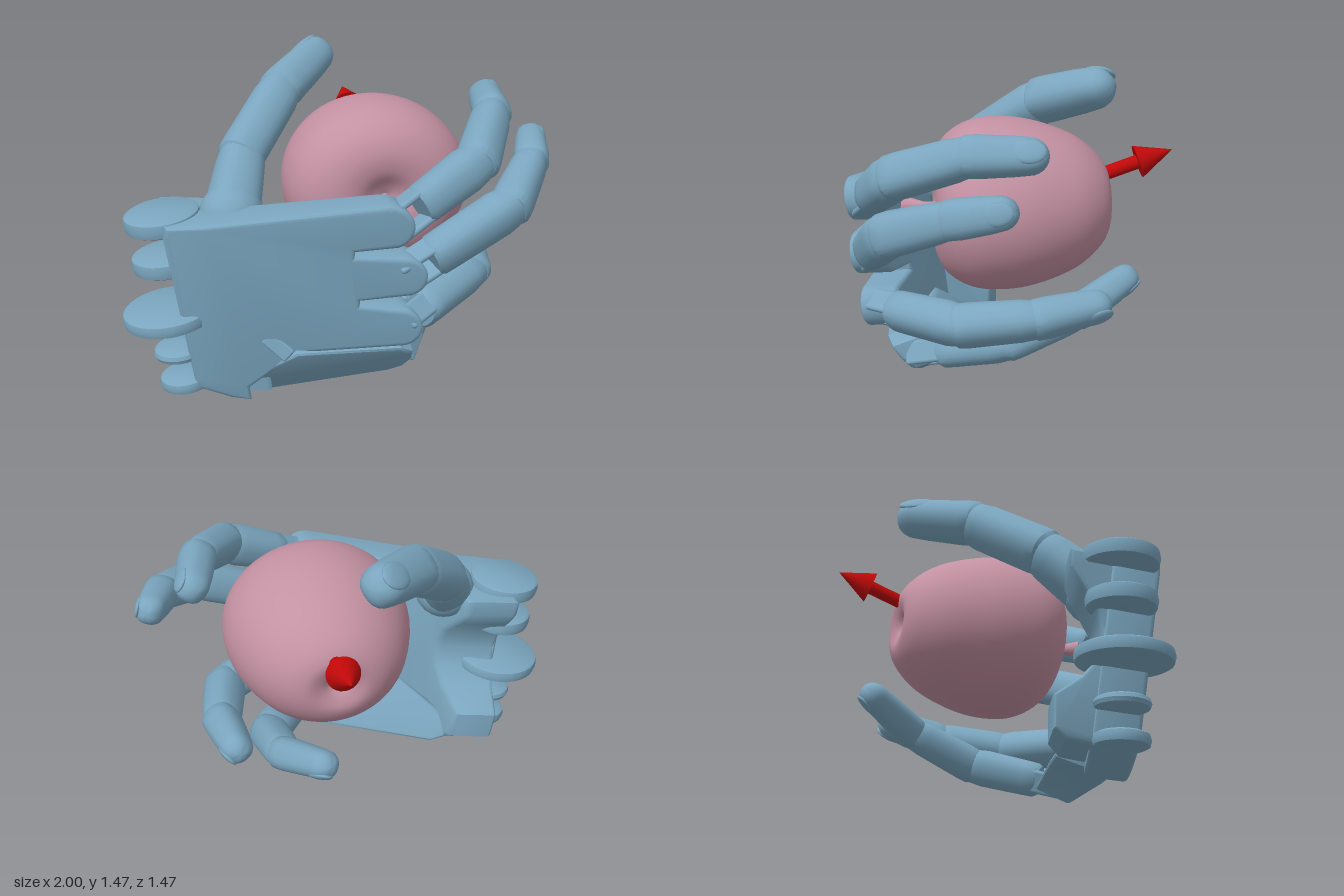
import * as THREE from 'three';
import { toCreasedNormals } from 'three/addons/utils/BufferGeometryUtils.js';
import { RoundedBoxGeometry } from 'three/addons/geometries/RoundedBoxGeometry.js';

const V = (x, y, z) => new THREE.Vector3(x, y, z);
const handMat = new THREE.MeshStandardMaterial({ color: 0x7ba6bf });
const fruitMat = new THREE.MeshStandardMaterial({ color: 0xc391a2 });
const arrowMat = new THREE.MeshStandardMaterial({ color: 0xc00808 });
const HEART = V(0.19, 0.9, -0.04); // centre of the held fruit

function add(parent, name, geometry, material = handMat) {
  const mesh = new THREE.Mesh(geometry, material);
  mesh.name = name;
  parent.add(mesh);
  return mesh;
}

// Bevelled slab whose vertices (u, v, t in 0..1) are moved by a rule
function slab(shape, rule) {
  const geo = new THREE.ExtrudeGeometry(shape, {
    depth: 0.8, bevelThickness: 0.1, bevelSize: 0.02, bevelOffset: -0.02, bevelSegments: 3, curveSegments: 10,
  });
  const p = geo.attributes.position;
  for (let i = 0; i < p.count; i++) p.setXYZ(i, ...rule(p.getX(i), p.getY(i), p.getZ(i) + 0.1));
  geo.computeVertexNormals();
  return toCreasedNormals(geo, 0.6);
}

const polygon = pts => new THREE.Shape(pts.map(p => new THREE.Vector2(...p)));

// Group at a whose y axis runs to b and whose z axis faces away from the fruit
function limb(parent, name, a, b) {
  const y = b.clone().sub(a).normalize();
  const z = a.clone().add(b).multiplyScalar(0.5).sub(HEART);
  z.addScaledVector(y, -z.dot(y)).normalize();
  const x = new THREE.Vector3().crossVectors(y, z);
  const g = new THREE.Group();
  g.name = name;
  g.quaternion.setFromRotationMatrix(new THREE.Matrix4().makeBasis(x, y, z));
  g.position.copy(a);
  parent.add(g);
  return g;
}

// Revolved profile; square > 0 pushes the diagonals out towards a rounded square
function revolve(pts, segments, square = 0) {
  const geo = new THREE.LatheGeometry(pts.map(p => new THREE.Vector2(...p)), segments);
  const p = geo.attributes.position;
  for (let i = 0; i < p.count; i++) {
    const x = p.getX(i), z = p.getZ(i);
    const f = 1 + square * Math.sin(2 * Math.atan2(z, x)) ** 2;
    p.setXYZ(i, x * f, p.getY(i), z * f);
  }
  return toCreasedNormals(geo, 0.65);
}

// Three phalanges through four points, with a forked root and a nail
function finger(parent, name, pts, radii, fork) {
  const g = new THREE.Group();
  g.name = name;
  parent.add(g);
  for (let i = 0; i < 3; i++) {
    const L = pts[i].distanceTo(pts[i + 1]), ra = radii[i], rb = radii[i + 1];
    const part = limb(g, ['proximal', 'middle', 'distal'][i] + 'Phalanx', pts[i], pts[i + 1]);
    const start = i === 0 && fork ? 0.12 : -0.35 * ra;
    const profile = [[0, start], [ra * 0.85, start], [ra, start + 0.02], [ra * 1.02, start + 0.07]];
    if (i < 2) {
      profile.push([rb * 1.03, L - 0.07], [rb * 0.92, L + 0.1 * rb], [rb * 0.62, L + rb * 0.55], [0, L + rb * 0.7]);
    } else {
      profile.push([(ra + rb) / 2, L * 0.6]);
      for (let k = 0; k <= 6; k++) {
        const t = k / 6 * Math.PI / 2;
        profile.push([rb * Math.cos(t), L - rb * 0.8 + rb * 1.1 * Math.sin(t)]);
      }
    }
    add(part, 'segment', revolve(profile, 24, 0.07)).scale.z = 0.94;
    if (i === 0 && fork) {
      for (const s of [-1, 1]) {
        add(part, 'forkTine', new RoundedBoxGeometry(0.03, 0.2, 0.11, 2, 0.014)).position.set(s * 0.062, 0.065, 0);
      }
      const pin = add(part, 'knucklePin', new THREE.CylinderGeometry(0.03, 0.03, 0.13, 12));
      pin.rotation.z = Math.PI / 2;
    }
    if (i === 2) {
      const nail = add(part, 'nail', new THREE.SphereGeometry(1, 16, 10));
      nail.scale.set(rb * 0.68, rb * 0.95, rb * 0.22);
      nail.position.set(0, L - rb * 0.75, rb * 0.78);
      nail.rotation.x = -0.1;
    }
  }
}

export function createModel() {
  const model = new THREE.Group();
  model.name = 'handHoldingFruit';
  const hand = new THREE.Group();
  hand.name = 'hand';
  model.add(hand);

  // Palm plate with three rounded knuckle lugs
  const palm = new THREE.Shape();
  palm.moveTo(-0.81, 0.84);
  palm.lineTo(-0.8, 0.89);
  palm.lineTo(-0.64, 0.905);
  palm.lineTo(0.09, 1.02);
  palm.absarc(0.105, 0.92, 0.1, Math.PI / 2, -1.2, true);
  palm.lineTo(-0.03, 0.8);
  palm.lineTo(-0.03, 0.775);
  palm.absarc(0.175, 0.685, 0.095, Math.PI / 2, -1.2, true);
  palm.lineTo(0, 0.56);
  palm.lineTo(0, 0.535);
  palm.absarc(0.17, 0.43, 0.095, Math.PI / 2, -1.4, true);
  for (const p of [[-0.25, 0.28], [-0.46, 0.08], [-0.45, 0.01], [-0.54, 0.02], [-0.69, 0.07], [-0.7, 0.12]]) palm.lineTo(...p);
  add(hand, 'palm', slab(palm, (x, y, t) => {
    const back = 0.545 + 0.28 * x + 0.15 * y;
    return [x, y, back - (1 - t) * (0.18 - 0.06 * x)];
  }));

  // Folded panel that carries the little finger
  const panel = polygon([[-0.26, 0.29], [0.2, 0.285], [0.26, 0.25], [0.27, 0.19], [0.24, 0.13], [0.18, 0.1],
    [-0.4, 0], [-0.48, 0.015], [-0.5, 0.1]]);
  add(hand, 'littleFingerPanel', slab(panel, (x, y, t) => {
    const back = 0.345 + 0.06 * x + 0.76 * y;
    return [x, y + (1 - t) * 0.06, back - (1 - t) * (0.2 - 0.12 * x)];
  }));
  const key = add(hand, 'foldKey', new RoundedBoxGeometry(0.14, 0.07, 0.1, 2, 0.01));
  key.position.set(-0.33, 0.31, 0.46);
  key.rotation.set(-0.15, -0.27, -0.75);

  // Saddle-shaped heel of the hand, narrowing towards the inside of the palm
  const heel = polygon([[0.08, 0.88], [0.08, 0.8], [0.13, 0.72], [0.2, 0.63], [0.22, 0.52], [0.19, 0.42], [0.12, 0.34],
    [0.0, 0.25], [0.0, 0.11], [0.05, 0.07], [0.34, 0.05], [0.4, 0.88]]);
  add(hand, 'palmHeel', slab(heel, (z, y, t) => {
    const x = -0.69 - 0.15 * (y - 0.1) + (0.2 + 0.4 * z) * (1 - t);
    return [x, y, z + 0.28 * (x + 0.63)];
  }));

  // Wrist hinge discs: x, y, radius, thickness
  for (const [x, y, r, h] of [[-0.8, 0.865, 0.17, 0.075], [-0.79, 0.67, 0.155, 0.075], [-0.79, 0.415, 0.21, 0.065],
    [-0.75, 0.225, 0.12, 0.05], [-0.73, 0.075, 0.12, 0.06]]) {
    const disc = add(hand, 'wristHingeDisc', revolve([[0, -h / 2], [r - 0.02, -h / 2], [r - 0.006, -h / 2 + 0.008],
      [r, 0], [r - 0.006, h / 2 - 0.008], [r - 0.02, h / 2], [0, h / 2]], 40));
    disc.position.set(x, y, 0.26);
    disc.rotation.z = 0.12;
  }

  // Fingers and thumb
  finger(hand, 'indexFinger', [V(0.15, 0.92, 0.65), V(0.53, 1.12, 0.52), V(0.69, 1.24, 0.22), V(0.75, 1.25, -0.08)],
    [0.088, 0.094, 0.086, 0.076], true);
  finger(hand, 'middleFinger', [V(0.2, 0.685, 0.64), V(0.68, 0.92, 0.55), V(0.86, 1.03, 0.3), V(0.94, 1.08, 0.06)],
    [0.09, 0.094, 0.082, 0.07], true);
  finger(hand, 'ringFinger', [V(0.2, 0.43, 0.6), V(0.61, 0.485, 0.25), V(0.67, 0.525, -0.07), V(0.63, 0.57, -0.37)],
    [0.092, 0.095, 0.088, 0.073], true);
  finger(hand, 'littleFinger', [V(0.22, 0.2, 0.42), V(0.44, 0.33, 0.03), V(0.42, 0.45, -0.28), V(0.26, 0.57, -0.55)],
    [0.086, 0.09, 0.082, 0.07], true);
  finger(hand, 'thumb', [V(-0.5, 0.87, 0.27), V(-0.42, 1.07, 0.06), V(-0.2, 1.29, -0.19), V(0.04, 1.4, -0.46)],
    [0.125, 0.11, 0.107, 0.095], false);
  add(hand, 'thumbSocket', new THREE.SphereGeometry(0.145, 20, 14)).position.set(-0.5, 0.86, 0.28);

  // Fruit revolved about z, slightly flattened in y, dimpled at both ends
  const fruit = new THREE.Group();
  fruit.name = 'fruit';
  model.add(fruit);
  const keys = [[0, -0.39], [0.03, -0.4], [0.08, -0.427], [0.15, -0.437], [0.24, -0.39], [0.335, -0.28], [0.405, -0.11],
    [0.428, 0.04], [0.41, 0.18], [0.34, 0.285], [0.24, 0.335], [0.14, 0.335], [0.06, 0.3], [0, 0.28]];
  const curve = new THREE.SplineCurve(keys.map(k => new THREE.Vector2(...k)));
  const outline = curve.getPoints(60).map(p => new THREE.Vector2(Math.max(0, p.x), p.y));
  const body = add(fruit, 'fruitBody', new THREE.LatheGeometry(outline, 56), fruitMat);
  body.rotation.x = Math.PI / 2;
  body.scale.z = 0.9;
  body.position.set(0.19, 0.905, 0);
  const calyx = add(fruit, 'calyx', new THREE.SphereGeometry(0.016, 10, 8), fruitMat);
  calyx.position.set(0.19, 0.905, -0.392);
  const stemPath = new THREE.CatmullRomCurve3([V(0.19, 0.9, 0.23), V(0.17, 0.89, 0.35), V(0.13, 0.88, 0.43)]);
  add(fruit, 'stem', new THREE.TubeGeometry(stemPath, 12, 0.022, 10), fruitMat);
  const stemEnd = limb(fruit, 'stemEnd', V(0.15, 0.885, 0.39), V(0.11, 0.88, 0.47));
  add(stemEnd, 'stemFlare', new THREE.CylinderGeometry(0.042, 0.022, 0.09, 14), fruitMat).position.y = 0.045;

  // Arrow leaving the far end of the fruit
  const arrow = limb(model, 'arrow', V(0.2, 1.0, -0.34), V(0.205, 1.135, -0.73));
  add(arrow, 'arrowShaft', new THREE.CylinderGeometry(0.032, 0.032, 0.26, 20), arrowMat).position.y = 0.13;
  add(arrow, 'arrowHead', new THREE.ConeGeometry(0.075, 0.165, 24), arrowMat).position.y = 0.33;

  return model;
}
